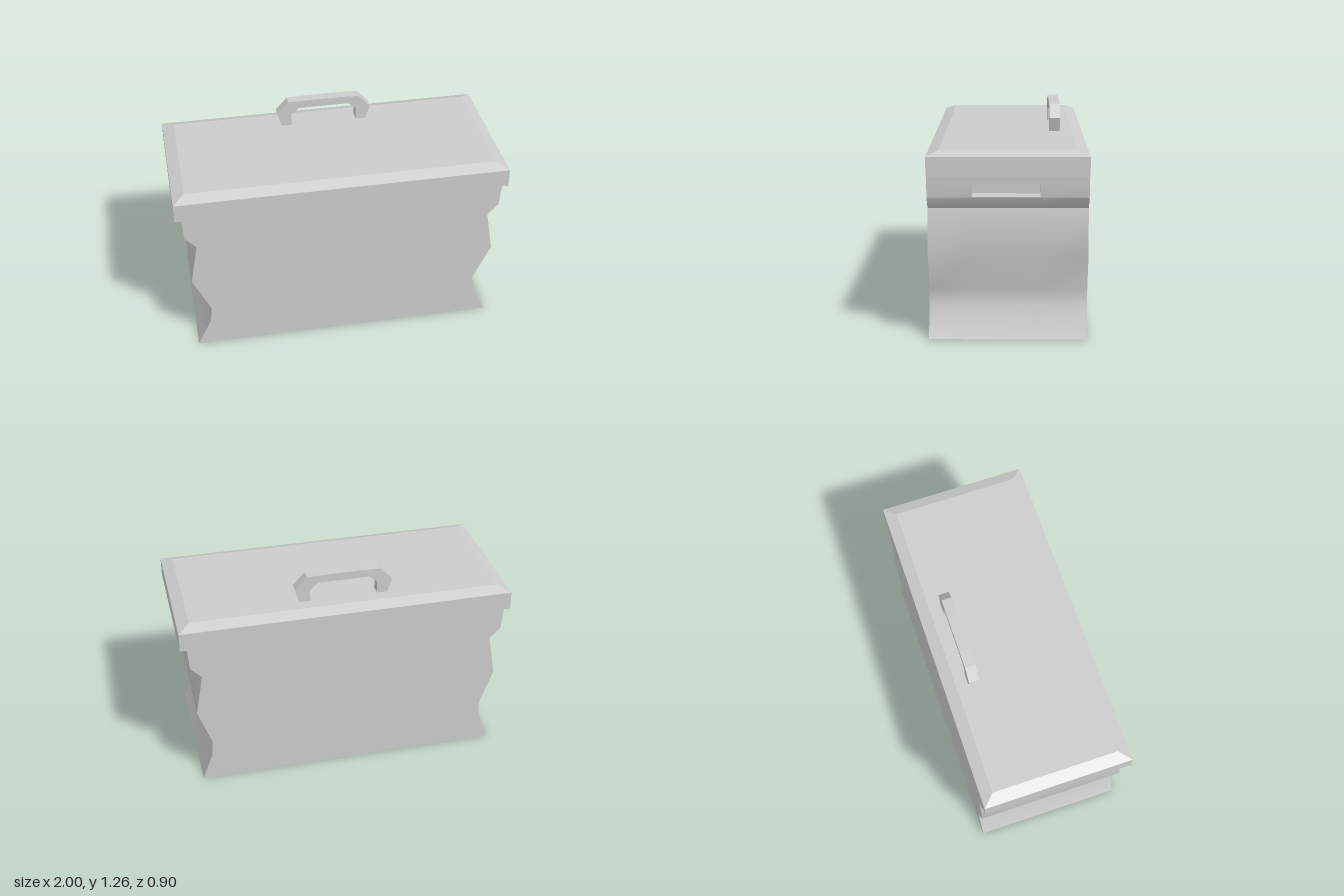
import * as THREE from 'three';
import { toCreasedNormals } from 'three/addons/utils/BufferGeometryUtils.js';

const solid = new THREE.MeshStandardMaterial({ color: 0xcccccc });
const sheet = new THREE.MeshStandardMaterial({ color: 0xcccccc, side: THREE.DoubleSide });

const D = 0.45; // half depth
const SLOT = { y0: 0.835, y1: 0.905, z0: -0.18, z1: 0.2, depth: 0.1 };

// Side outline from the floor up: [half width, height, extra pinch at the front]
const PROFILE = [
  [0.92, 0, 0], [0.847, 0.17, 0.01], [0.837, 0.27, 0.012], [0.93, 0.5, 0],
  [0.885, 0.757, 0], [0.95, 0.825, 0], [0.952, SLOT.y0, 0], [0.956, SLOT.y1, 0], [0.96, 0.96, 0],
];
const halfWidth = ([x, , pinch], z) => x - pinch * z / D;

function add(group, name, geometry, material = solid) {
  const mesh = new THREE.Mesh(geometry, material);
  mesh.name = name;
  group.add(mesh);
  return mesh;
}

// Curved side wall: outline swept along z, leaving the grip slot open
function sideWall(s) {
  const zs = [-D, SLOT.z0, SLOT.z1, D];
  const pos = [], index = [];
  for (const p of PROFILE) for (const z of zs) pos.push(s * halfWidth(p, z), p[1], z);
  for (let i = 0; i < PROFILE.length - 1; i++) {
    for (let j = 0; j < 3; j++) {
      if (j === 1 && PROFILE[i][1] === SLOT.y0) continue;
      const a = i * 4 + j, b = a + 1, c = a + 4, d = a + 5;
      if (s > 0) index.push(a, c, b, b, c, d);
      else index.push(a, b, c, b, d, c);
    }
  }
  const g = new THREE.BufferGeometry();
  g.setAttribute('position', new THREE.Float32BufferAttribute(pos, 3));
  g.setIndex(index);
  return toCreasedNormals(g, 0.66);
}

// Flat front or back panel following the outline on both sides
function endPanel(z) {
  const half = PROFILE.map((p) => new THREE.Vector2(halfWidth(p, z), p[1]));
  const mirrored = half.map((v) => new THREE.Vector2(-v.x, v.y)).reverse();
  const g = new THREE.ShapeGeometry(new THREE.Shape([...half, ...mirrored]));
  if (z < 0) g.rotateY(Math.PI); // symmetric outline, so turning only flips the facing
  return g.translate(0, 0, z);
}

// Recess behind a grip slot: a box without its outer face
function gripPocket(s) {
  const { y0, y1, z0, z1, depth } = SLOT;
  const g = new THREE.BoxGeometry(depth, y1 - y0, z1 - z0);
  g.setIndex(Array.from(g.index.array).slice(6));
  if (s < 0) g.rotateY(Math.PI);
  return g.translate(s * (0.954 - depth / 2), (y0 + y1) / 2, (z0 + z1) / 2);
}

// Lid top: a low box whose upper face is drawn in to form the bevel
function lidTop() {
  const g = new THREE.BoxGeometry(2, 0.028, 2 * D);
  const p = g.attributes.position;
  for (let i = 0; i < p.count; i++) {
    if (p.getY(i) > 0) {
      p.setX(i, Math.sign(p.getX(i)) * 0.93);
      p.setZ(i, Math.sign(p.getZ(i)) * 0.38);
    }
  }
  g.translate(0, 1.081, 0);
  return toCreasedNormals(g, 0.1);
}

// Angular carrying handle
function handleGeometry() {
  const half = [[0.265, 1.09], [0.293, 1.18], [0.222, 1.257], [0.12, 1.261]];
  const inner = [[0.155, 1.212], [0.203, 1.172], [0.203, 1.09]];
  const flip = (pts) => pts.map(([x, y]) => [-x, y]).reverse();
  const outline = [...half, ...flip(half), ...flip(inner), ...flip(flip(inner)).map((p) => p)];
  const shape = new THREE.Shape(outline.map(([x, y]) => new THREE.Vector2(x, y)));
  return new THREE.ExtrudeGeometry(shape, { depth: 0.063, bevelEnabled: false }).translate(0, 0, -0.307);
}

export function createModel() {
  const model = new THREE.Group();
  model.name = 'chest';

  // Open-bottomed body shell
  const body = new THREE.Group();
  body.name = 'body';
  add(body, 'frontPanel', endPanel(D), sheet);
  add(body, 'backPanel', endPanel(-D), sheet);
  for (const [s, side] of [[1, 'left'], [-1, 'right']]) {
    add(body, side + 'Wall', sideWall(s), sheet);
    add(body, side + 'GripPocket', gripPocket(s), sheet);
  }
  model.add(body);

  // Lid with lip, bevelled top and handle
  const lid = new THREE.Group();
  lid.name = 'lid';
  add(lid, 'lidLip', new THREE.BoxGeometry(2, 0.112, 2 * D).translate(0, 1.011, 0));
  add(lid, 'lidTop', lidTop());
  add(lid, 'handle', handleGeometry());
  model.add(lid);

  return model;
}
